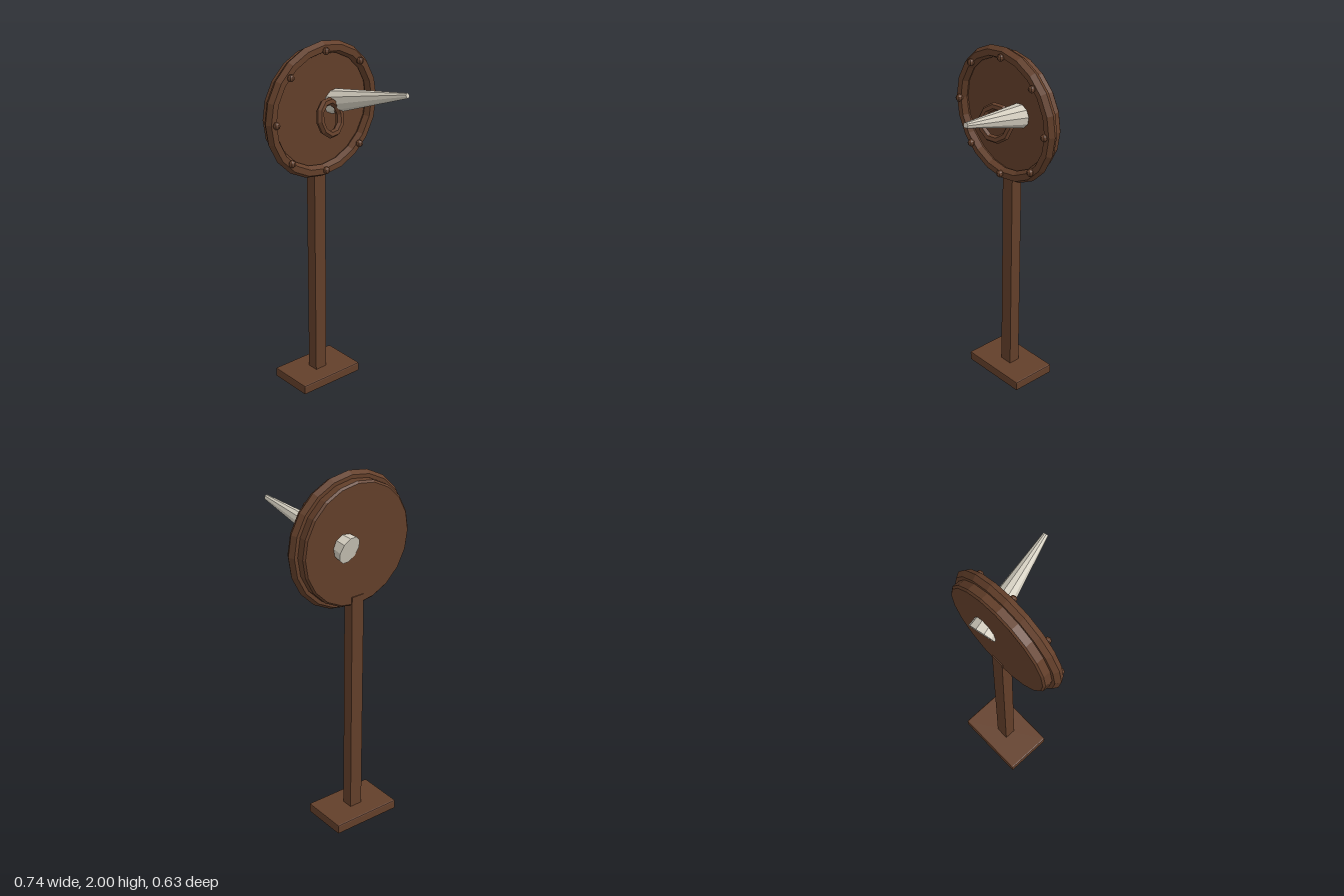
import * as THREE from 'three';
import { RoundedBoxGeometry } from 'three/addons/geometries/RoundedBoxGeometry.js';

export function createModel() {
  const model = new THREE.Group();
  model.name = 'shieldTarget';

  const wood = new THREE.MeshStandardMaterial({ color: 0x633f2a, flatShading: true });
  wood.name = 'brownWood';
  const bone = new THREE.MeshStandardMaterial({ color: 0xd2ccbe, flatShading: true });
  bone.name = 'paleBone';

  const add = (name, geometry, material, x, y, z, parent = model) => {
    const mesh = new THREE.Mesh(geometry, material);
    mesh.name = name;
    mesh.position.set(x, y, z);
    parent.add(mesh);
    return mesh;
  };

  // Foot plate and upright post
  add('base', new RoundedBoxGeometry(0.405, 0.055, 0.268, 1, 0.008), wood, 0, 0.0275, -0.179);
  add('post', new THREE.BoxGeometry(0.075, 1.3, 0.065), wood, 0, 0.7, -0.1775);

  // Round shield with a bevelled back edge
  const shield = new THREE.Group();
  shield.name = 'shield';
  shield.position.y = 1.63;
  model.add(shield);
  const profile = [[0, -0.205], [0.325, -0.205], [0.335, -0.195], [0.335, -0.14], [0, -0.14]]
    .map(([r, h]) => new THREE.Vector2(r, h));
  add('disc', new THREE.LatheGeometry(profile, 20).rotateX(Math.PI / 2), wood, 0, 0, 0, shield);

  // Six-sided rim
  add('rim', new THREE.TorusGeometry(0.338, 0.033, 6, 20), wood, 0, 0, -0.125, shield);

  // Eight studs on the rim
  const studGeometry = new THREE.SphereGeometry(0.02, 8, 6);
  for (let i = 0; i < 8; i++) {
    const a = i * Math.PI / 4;
    add('stud', studGeometry, wood, 0.327 * Math.cos(a), 0.327 * Math.sin(a) - 0.003, -0.09, shield);
  }

  // Tilted ring hanging on the front
  const ring = add('ring', new THREE.TorusGeometry(0.087, 0.021, 6, 10), wood, 0, 1.603, -0.06);
  ring.quaternion.setFromUnitVectors(
    new THREE.Vector3(0, 0, 1), new THREE.Vector3(0.27, 0.27, 1).normalize());

  // Tapered spike piercing the shield
  const butt = new THREE.Vector3(0.075, 1.63, -0.234);
  const tip = new THREE.Vector3(0.198, 1.775, 0.31);
  const axis = tip.clone().sub(butt);
  const middle = butt.clone().add(tip).multiplyScalar(0.5);
  const spike = add('spike', new THREE.CylinderGeometry(0.014, 0.076, axis.length(), 10), bone,
    middle.x, middle.y, middle.z);
  spike.quaternion.setFromUnitVectors(new THREE.Vector3(0, 1, 0), axis.normalize());

  return model;
}
